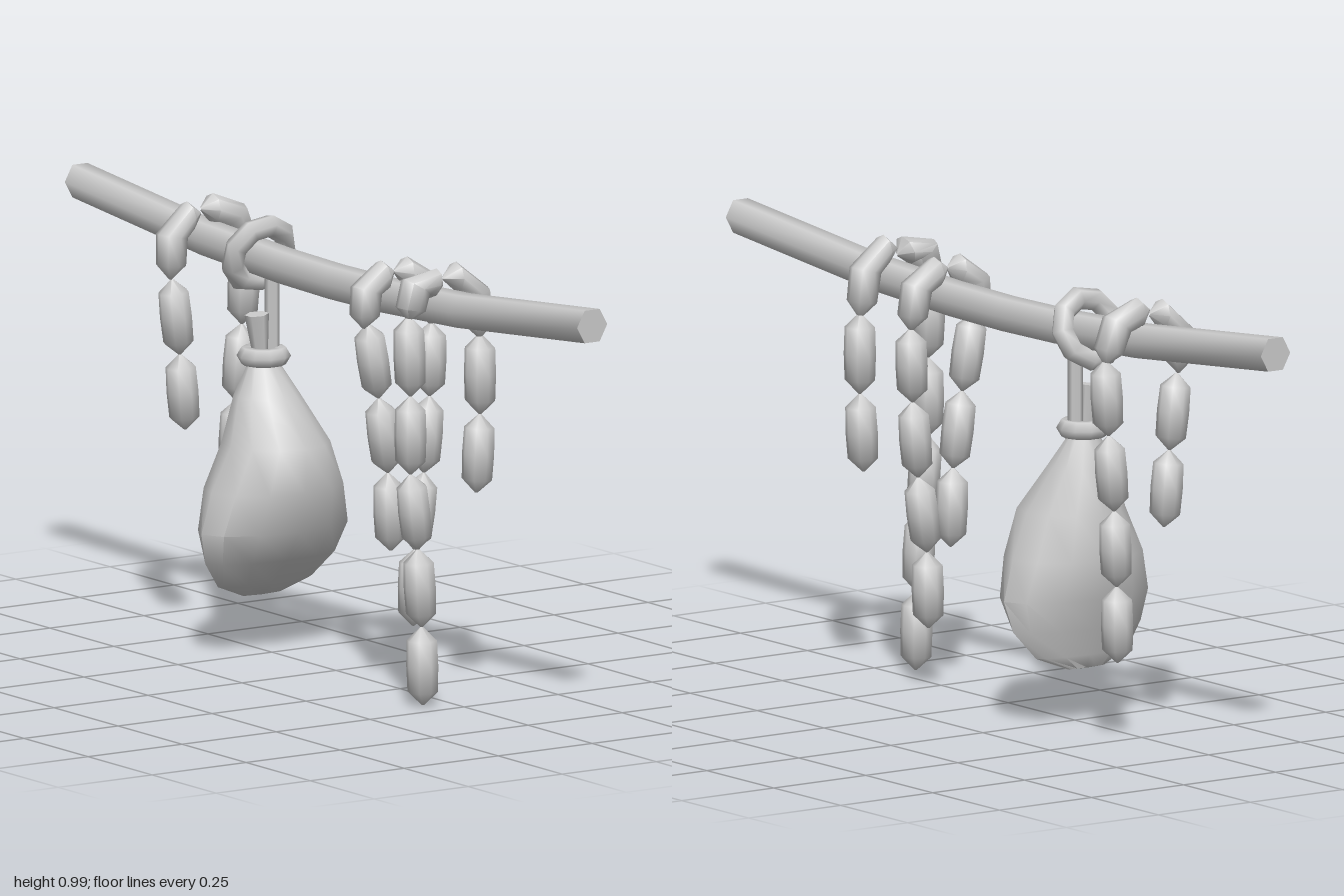
import * as THREE from 'three';
import { toCreasedNormals } from 'three/addons/utils/BufferGeometryUtils.js';

const mat = new THREE.MeshStandardMaterial({ color: 0xcccccc });
const X = new THREE.Vector3(1, 0, 0);
const Y = new THREE.Vector3(0, 1, 0);
const Z = new THREE.Vector3(0, 0, 1);

function add(parent, name, geometry) {
  const mesh = new THREE.Mesh(geometry, mat);
  mesh.name = name;
  parent.add(mesh);
  return mesh;
}

// Skin of elliptical rings { c, a, b, ra, rb }, where a x b points along the path
function loft(rings, sides, crease = 0.9) {
  const pos = [], idx = [];
  rings.forEach(({ c, a, b, ra, rb }, i) => {
    for (let j = 0; j < sides; j++) {
      const t = (j / sides) * Math.PI * 2;
      const p = c.clone().addScaledVector(a, ra * Math.cos(t)).addScaledVector(b, rb * Math.sin(t));
      pos.push(p.x, p.y, p.z);
      if (i === 0) continue;
      const k = (j + 1) % sides, lo = (i - 1) * sides, hi = i * sides;
      idx.push(lo + j, lo + k, hi + j, lo + k, hi + k, hi + j);
    }
  });
  const g = new THREE.BufferGeometry();
  g.setAttribute('position', new THREE.Float32BufferAttribute(pos, 3));
  g.setIndex(idx);
  return toCreasedNormals(g, crease);
}

// Pointed sausage link through [x, y] points in a plane of constant z
function linkGeometry(points, z) {
  const curve = new THREE.CatmullRomCurve3(points.map(([x, y]) => new THREE.Vector3(x, y, z)));
  const profile = [[0, 0.003], [0.17, 0.034], [0.5, 0.036], [0.83, 0.034], [1, 0.003]];
  return loft(profile.map(([t, r]) => {
    const d = curve.getTangentAt(t);
    return { c: curve.getPointAt(t), a: new THREE.Vector3(-d.y, d.x, 0), b: Z, ra: r, rb: r };
  }), 8, 1.1);
}

// Each string: two bent links over the pole, then straight links down either side
const strings = [
  {
    z: 0.43,
    left: { bend: [[-0.01, 0.94], [-0.075, 0.95], [-0.1, 0.87]], joints: [[-0.1, 0.88], [-0.095, 0.7], [-0.095, 0.525], [-0.075, 0.355], [-0.065, 0.18], [-0.062, 0.005]] },
    right: { bend: [[-0.01, 0.955], [0.06, 0.945], [0.09, 0.81]], joints: [[0.09, 0.82], [0.09, 0.64], [0.08, 0.465]] },
  },
  {
    z: 0.24,
    left: { bend: [[-0.01, 0.94], [-0.075, 0.92], [-0.09, 0.82]], joints: [[-0.08, 0.83], [-0.05, 0.66], [-0.025, 0.49], [-0.018, 0.315]] },
    right: { bend: [[-0.01, 0.94], [0.065, 0.92], [0.09, 0.81]], joints: [[0.09, 0.815], [0.085, 0.65], [0.07, 0.48], [0.045, 0.31], [0.042, 0.14]] },
  },
  {
    z: -0.5,
    left: { bend: [[-0.02, 0.95], [-0.085, 0.935], [-0.1, 0.81]], joints: [[-0.095, 0.81], [-0.075, 0.64], [-0.06, 0.47]] },
    right: { bend: [[-0.02, 0.96], [0.06, 0.945], [0.1, 0.85]], joints: [[0.1, 0.86], [0.09, 0.69], [0.075, 0.52], [0.068, 0.35], [0.066, 0.18]] },
  },
];

function sausageString({ z, left, right }) {
  const group = new THREE.Group();
  group.name = 'sausageString';
  for (const { bend, joints } of [left, right]) {
    add(group, 'bentSausage', linkGeometry(bend, z));
    for (let i = 1; i < joints.length; i++) {
      add(group, 'sausage', linkGeometry([joints[i - 1], joints[i]], z));
    }
  }
  return group;
}

function hangingSack() {
  const group = new THREE.Group();
  group.name = 'hangingSack';

  // Body sections from neck to bottom: height, front z, back z, half width
  const sections = [
    [0.66, -0.26, -0.31, 0.03], [0.58, -0.2, -0.34, 0.075], [0.48, -0.115, -0.355, 0.12],
    [0.38, -0.118, -0.37, 0.165], [0.29, -0.145, -0.348, 0.19], [0.22, -0.19, -0.325, 0.172],
    [0.16, -0.25, -0.305, 0.125], [0.13, -0.285, -0.295, 0.05], [0.128, -0.29, -0.29, 0],
  ];
  add(group, 'sackBody', loft(sections.map(([y, front, back, w]) => ({
    c: new THREE.Vector3(0, y, (front + back) / 2), a: X, b: Z, ra: w, rb: (front - back) / 2,
  })), 12));

  // Cord tied around the neck, with the gathered cloth above it
  const tie = add(group, 'neckTie', new THREE.TorusGeometry(0.038, 0.022, 6, 10));
  tie.rotation.x = Math.PI / 2;
  tie.position.set(0, 0.665, -0.282);
  const tuft = add(group, 'gatheredCloth', new THREE.CylinderGeometry(0.027, 0.016, 0.1, 6));
  tuft.position.set(-0.015, 0.71, -0.28);
  tuft.rotation.z = 0.1;

  // Cord up to the ring around the pole
  const cord = add(group, 'cord', new THREE.CylinderGeometry(0.017, 0.017, 0.22, 6));
  cord.position.set(0.022, 0.785, -0.282);
  const ring = add(group, 'poleRing', new THREE.TorusGeometry(0.07, 0.026, 6, 9));
  ring.position.set(0, 0.89, -0.3);
  ring.rotation.x = 0.35;
  return group;
}

export function createModel() {
  const model = new THREE.Group();
  model.name = 'hangingFoodPole';

  // Sagging hexagonal pole; zero-radius rings close its ends
  const path = [[-1, 0.94, 0], [-1, 0.94, 1], [-0.5, 0.893, 1], [-0.2, 0.879, 1], [0, 0.876, 1],
    [0.2, 0.879, 1], [0.5, 0.893, 1], [1, 0.94, 1], [1, 0.94, 0]];
  add(model, 'pole', loft(path.map(([z, y, on]) => ({
    c: new THREE.Vector3(0, y, z), a: X, b: Y, ra: 0.04 * on, rb: 0.042 * on,
  })), 6, 1.2));

  strings.forEach((s) => model.add(sausageString(s)));
  model.add(hangingSack());
  return model;
}
